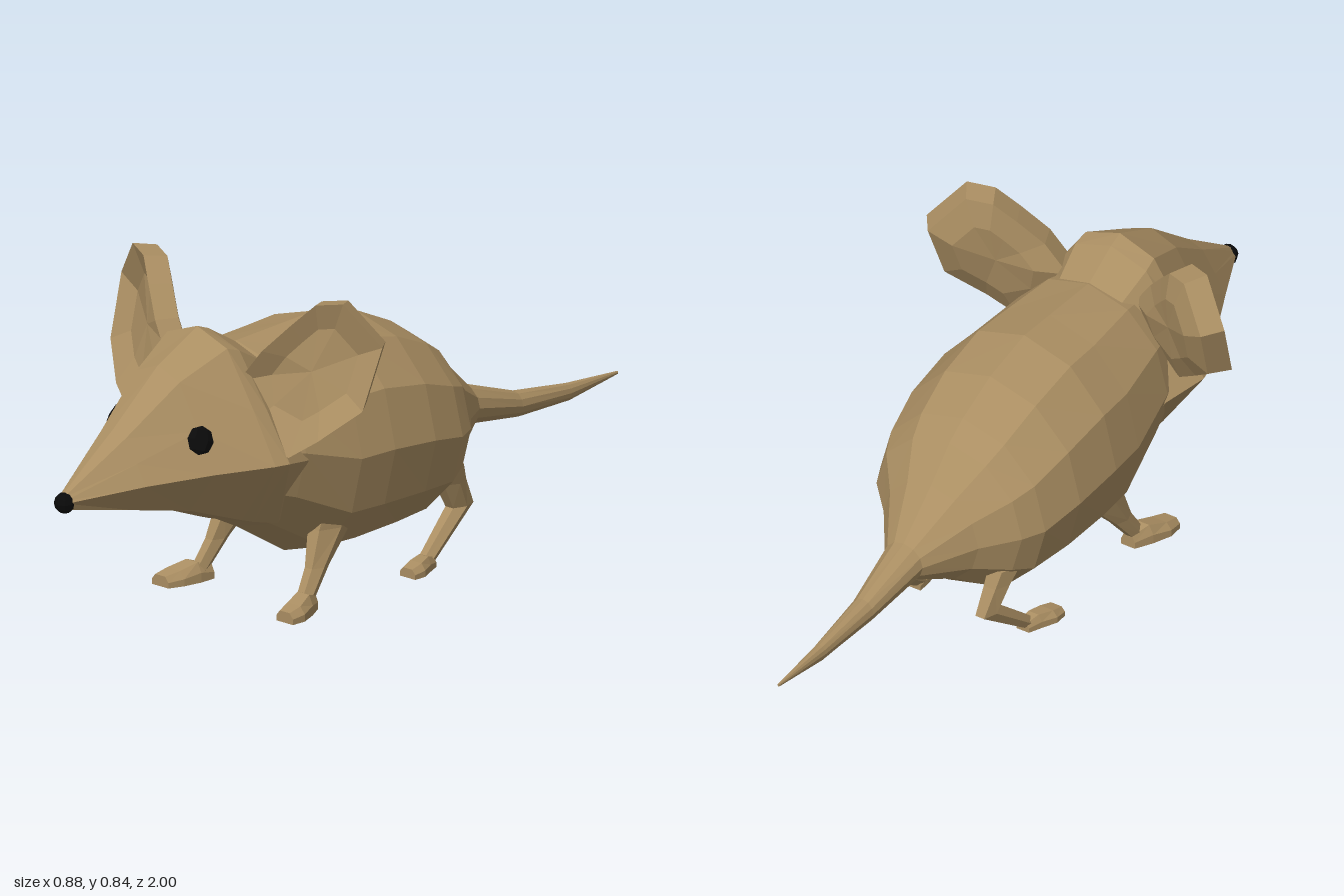
import * as THREE from 'three';

const fur = new THREE.MeshStandardMaterial({ color: 0xaa8e62 });
fur.name = 'tan fur';
const black = new THREE.MeshStandardMaterial({ color: 0x0a0a0a });
black.name = 'black';

// Faceted skin over a list of rings of [x, y, z]; side = -1 mirrors it in x.
function loft(name, rings, side = 1) {
  const pos = [];
  const tri = (a, b, c) => {
    for (const p of side > 0 ? [a, b, c] : [a, c, b]) pos.push(p[0] * side, p[1], p[2]);
  };
  const centre = (r) => [0, 1, 2].map((k) => r.reduce((sum, p) => sum + p[k], 0) / r.length);
  const n = rings[0].length;
  const first = rings[0], last = rings[rings.length - 1];
  const c0 = centre(first), c1 = centre(last);
  for (let j = 0; j < n; j++) {
    const k = (j + 1) % n;
    for (let i = 0; i < rings.length - 1; i++) {
      const a = rings[i][j], b = rings[i][k], c = rings[i + 1][k], d = rings[i + 1][j];
      tri(a, b, c);
      tri(a, c, d);
    }
    tri(c0, first[k], first[j]);
    tri(c1, last[j], last[k]);
  }
  const geo = new THREE.BufferGeometry();
  geo.setAttribute('position', new THREE.Float32BufferAttribute(pos, 3));
  geo.computeVertexNormals();
  const mesh = new THREE.Mesh(geo, fur);
  mesh.name = name;
  return mesh;
}

// Body running into the tail: z, bottom, top, half width
function makeBody() {
  const sections = [
    [0.48, 0.25, 0.64, 0.2], [0.36, 0.19, 0.67, 0.235], [0.19, 0.088, 0.676, 0.264],
    [0.08, 0.085, 0.68, 0.272], [-0.07, 0.092, 0.645, 0.267], [-0.19, 0.1, 0.59, 0.244],
    [-0.25, 0.14, 0.55, 0.215], [-0.33, 0.2, 0.47, 0.14], [-0.45, 0.262, 0.366, 0.056],
    [-0.63, 0.237, 0.305, 0.032], [-0.82, 0.234, 0.28, 0.017], [-1, 0.26, 0.268, 0.003],
  ];
  return loft('bodyAndTail', sections.map(([z, bottom, top, w]) =>
    Array.from({ length: 12 }, (_, i) => {
      const a = (i / 12) * Math.PI * 2;
      return [w * Math.sin(a), (top + bottom) / 2 + ((top - bottom) / 2) * Math.cos(a), z];
    })));
}

// Wedge head with a sharp cheek line: z, bottom, cheek height, top, half width
function makeHead() {
  const sections = [
    [0.985, 0.38, 0.4, 0.415, 0.018], [0.8, 0.34, 0.42, 0.545, 0.11],
    [0.64, 0.305, 0.43, 0.672, 0.19], [0.5, 0.25, 0.435, 0.74, 0.265],
    [0.46, 0.235, 0.435, 0.725, 0.275], [0.35, 0.2, 0.41, 0.66, 0.235],
  ];
  const half = [[0.38, 0.88], [0.72, 0.42], [1, 0], [0.56, -0.88]];
  return loft('head', sections.map(([z, bottom, cheek, top, w]) => {
    const at = ([u, v], s) => [s * u * w, cheek + v * (v > 0 ? top - cheek : cheek - bottom), z];
    return [
      [0, top, z], ...half.map((p) => at(p, 1)),
      [0, bottom, z], ...half.slice().reverse().map((p) => at(p, -1)),
    ];
  }));
}

// Thick dished ear sweeping outwards and back
function makeEar(side) {
  const rim = [
    [0.27, 0.45, 0.46], [0.34, 0.5, 0.43], [0.425, 0.58, 0.36], [0.44, 0.735, 0.305],
    [0.355, 0.84, 0.355], [0.29, 0.83, 0.385], [0.24, 0.775, 0.42], [0.18, 0.705, 0.46],
    [0.12, 0.62, 0.48], [0.15, 0.5, 0.5],
  ];
  const mid = [0.3, 0.66, 0.395];
  const ring = (scale, dx, dz) => rim.map((p) => p.map((v, k) =>
    mid[k] + (v - mid[k]) * scale + (k === 0 ? dx : k === 2 ? dz : 0)));
  return loft('ear', [
    ring(0.55, -0.035, -0.075), ring(0.95, -0.03, -0.055), ring(1, 0, 0), ring(0.6, -0.012, -0.022),
  ], side);
}

// Limb from horizontal rings: x, y, z, radius x, radius z
function makeLeg(name, sections, side) {
  return loft(name, sections.map(([x, y, z, rx, rz]) =>
    Array.from({ length: 6 }, (_, i) => {
      const a = (i / 6) * Math.PI * 2;
      return [x + rx * Math.cos(a), y, z + rz * Math.sin(a)];
    })), side);
}

// Paw from upright rings, toes first: z, centre x, half width, height
function makePaw(name, sections, side) {
  return loft(name, sections.map(([z, x, w, h]) => [
    [x - w * 0.6, h, z], [x + w * 0.6, h, z], [x + w, h * 0.5, z],
    [x + w, 0, z], [x - w, 0, z], [x - w, h * 0.5, z],
  ]), side);
}

function makeEye(side) {
  const geo = new THREE.SphereGeometry(1, 6, 4).toNonIndexed();
  geo.computeVertexNormals();
  const eye = new THREE.Mesh(geo, black);
  eye.name = 'eye';
  eye.scale.set(0.034, 0.037, 0.012);
  eye.position.set(0.146 * side, 0.511, 0.643);
  eye.quaternion.setFromUnitVectors(
    new THREE.Vector3(0, 0, 1), new THREE.Vector3(0.78 * side, 0.43, 0.44).normalize());
  return eye;
}

export function createModel() {
  const model = new THREE.Group();
  model.name = 'mouse';
  model.add(makeBody(), makeHead());

  const noseGeo = new THREE.SphereGeometry(0.027, 8, 6).toNonIndexed();
  noseGeo.computeVertexNormals();
  const nose = new THREE.Mesh(noseGeo, black);
  nose.name = 'nose';
  nose.position.set(0, 0.396, 0.973);
  model.add(nose);

  for (const side of [1, -1]) {
    model.add(makeEar(side), makeEye(side));
    model.add(makeLeg('frontLeg', [
      [0.165, 0.25, 0.19, 0.03, 0.05], [0.155, 0.19, 0.19, 0.038, 0.068],
      [0.168, 0.1, 0.25, 0.024, 0.036], [0.178, 0.025, 0.305, 0.02, 0.028],
    ], side));
    model.add(makePaw('frontPaw', [
      [0.41, 0.21, 0.028, 0.028], [0.37, 0.203, 0.037, 0.036],
      [0.32, 0.188, 0.032, 0.05], [0.275, 0.175, 0.02, 0.035],
    ], side));
    model.add(makeLeg('hindLeg', [
      [0.15, 0.24, -0.22, 0.04, 0.06], [0.145, 0.195, -0.25, 0.034, 0.045],
      [0.14, 0.125, -0.288, 0.026, 0.042], [0.16, 0.015, -0.145, 0.019, 0.03],
    ], side));
    model.add(makePaw('hindPaw', [
      [-0.055, 0.185, 0.026, 0.024], [-0.09, 0.18, 0.032, 0.032],
      [-0.13, 0.168, 0.025, 0.036], [-0.165, 0.16, 0.018, 0.025],
    ], side));
  }
  return model;
}
